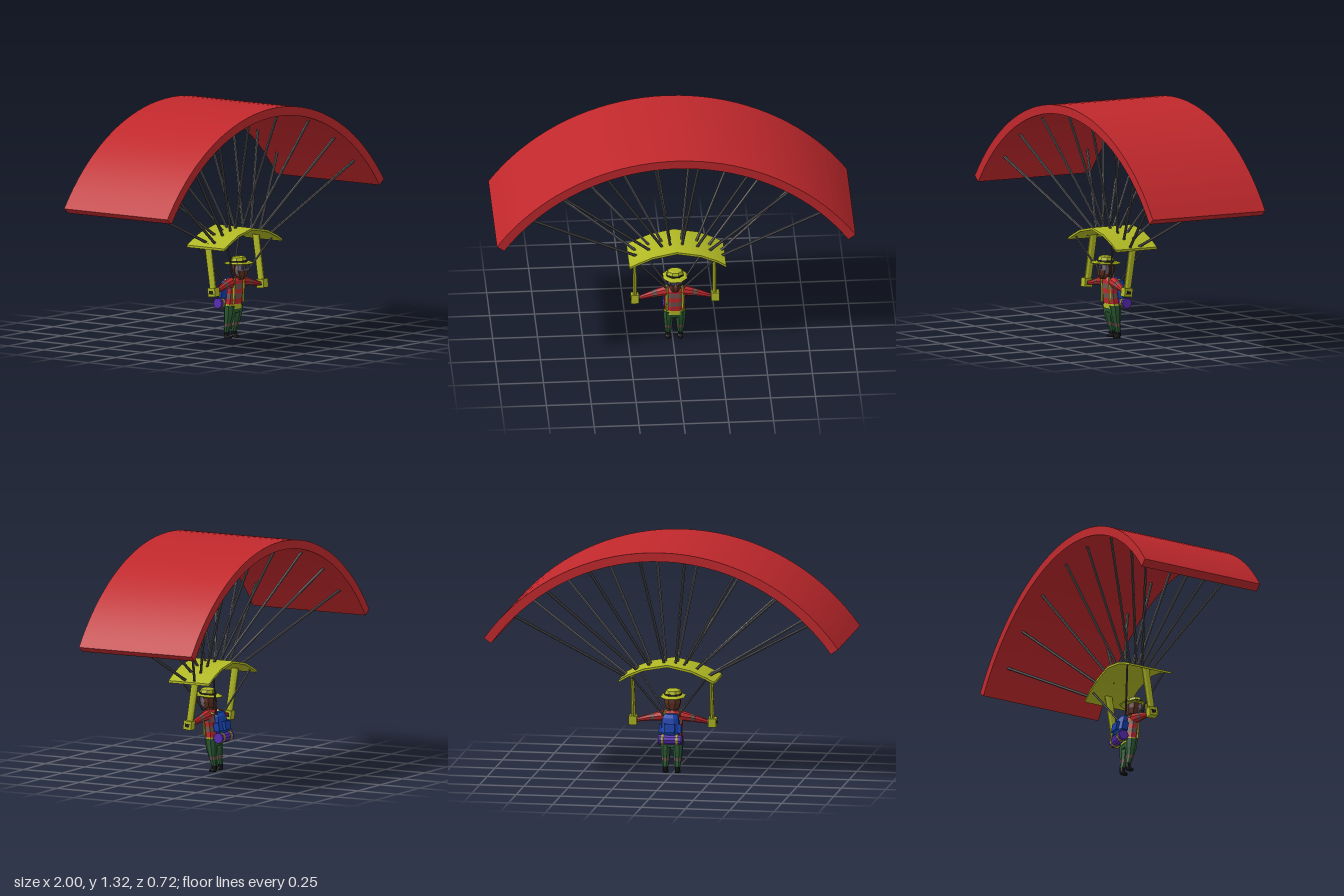
import * as THREE from 'three';
import { toCreasedNormals } from 'three/addons/utils/BufferGeometryUtils.js';

const RED = 0xc0282c, LIME = 0xb0b824, ROPE = 0x555558, STRIPE = 0x735650, GREEN = 0x2b5a34,
  BLUE = 0x1440a8, PURPLE = 0x5a2cb4, BLACK = 0x191919, BROWN = 0x5a2f20, SKIN = 0x776a78;

export function createModel() {
  const model = new THREE.Group();
  model.name = 'paraglider';
  const pilot = new THREE.Group();
  pilot.name = 'pilot';
  pilot.position.x = 0.01;
  model.add(pilot);

  const add = (parent, name, geometry, color, flatShading = true) => {
    const mesh = new THREE.Mesh(geometry, new THREE.MeshStandardMaterial({ color, flatShading }));
    mesh.name = name;
    parent.add(mesh);
    return mesh;
  };

  // straight tapered rod between two points
  const rod = (parent, name, a, b, ra, rb, color, sides = 6) => {
    const from = new THREE.Vector3(...a), to = new THREE.Vector3(...b);
    const dir = to.clone().sub(from);
    const mesh = add(parent, name, new THREE.CylinderGeometry(rb, ra, dir.length(), sides), color);
    mesh.position.copy(from).add(to).multiplyScalar(0.5);
    mesh.quaternion.setFromUnitVectors(new THREE.Vector3(0, 1, 0), dir.normalize());
    return mesh;
  };

  // eight-sided body through rows [y, z, halfWidth, halfDepth], listed from top to bottom
  const loft = (parent, name, rows, color, x = 0) => {
    const n = rows.length - 1, k = 1 / Math.cos(Math.PI / 8);
    const g = new THREE.CylinderGeometry(k, k, 1, 8, n, false, Math.PI / 8);
    const p = g.attributes.position;
    for (let i = 0; i < p.count; i++) {
      const [y, z, hx, hz] = rows[Math.round((0.5 - p.getY(i)) * n)];
      p.setXYZ(i, x + p.getX(i) * hx, y, z + p.getZ(i) * hz);
    }
    g.computeVertexNormals();
    return add(parent, name, g, color);
  };

  const box = (parent, name, size, pos, color, tilt = 0) => {
    const mesh = add(parent, name, new THREE.BoxGeometry(...size), color);
    mesh.position.set(...pos);
    mesh.rotation.x = tilt;
    return mesh;
  };

  // main canopy: a thick arc swept front to back
  const R = 1.228, CY = 0.092, half = Math.asin(1 / R), mid = Math.PI / 2;
  const arc = new THREE.Shape();
  arc.absarc(0, CY, R, mid - half, mid + half, false);
  arc.absarc(0, CY, R - 0.05, mid + half, mid - half, true);
  const canopy = new THREE.ExtrudeGeometry(arc, { depth: 0.72, bevelEnabled: false, curveSegments: 18 });
  canopy.translate(0, 0, -0.36);
  add(model, 'canopy', toCreasedNormals(canopy, 0.6), RED, false);

  // small wing above the pilot
  const top = [[-0.25, 0.54], [-0.2, 0.565], [-0.12, 0.6], [0.015, 0.628], [0.15, 0.603], [0.24, 0.565], [0.29, 0.535]];
  const outline = [...top, ...top.map(([x, y]) => [x, y - 0.013]).reverse()];
  const wing = new THREE.ExtrudeGeometry(new THREE.Shape(outline.map((p) => new THREE.Vector2(...p))),
    { depth: 0.26, bevelEnabled: false });
  wing.translate(0, 0, -0.07);
  add(model, 'smallWing', toCreasedNormals(wing, 0.5), LIME, false);

  // suspension lines in a front and a back row
  const lines = [[-0.84, -0.2, 0.555], [-0.66, -0.13, 0.59], [-0.41, -0.06, 0.607], [-0.12, -0.015, 0.615],
    [0.14, 0.05, 0.615], [0.43, 0.13, 0.595], [0.67, 0.2, 0.573], [0.85, 0.27, 0.54]];
  for (const [xt, xb, yb] of lines) {
    const yt = CY + Math.sqrt((R - 0.04) ** 2 - xt * xt);
    rod(model, 'frontLine', [xb, yb, 0.09], [xt, yt, 0.27], 0.008, 0.008, ROPE);
    rod(model, 'backLine', [xb, yb, 0.035], [xt, yt, -0.27], 0.008, 0.008, ROPE);
  }

  for (const s of [-1, 1]) {
    // harness lines from wing edge to shoulders
    rod(pilot, 'frontRiser', [s * 0.04, 0.335, 0.09], [s * 0.205, 0.55, 0.17], 0.006, 0.006, ROPE);
    rod(pilot, 'backRiser', [s * 0.04, 0.325, 0.02], [s * 0.205, 0.55, -0.055], 0.006, 0.006, ROPE);

    // control bar and grip
    loft(pilot, 'controlBar', [[0.555, 0.048, 0.009, 0.022], [0.27, 0.09, 0.012, 0.02]], LIME, s * 0.222);
    box(pilot, 'grip', [0.045, 0.05, 0.05], [s * 0.224, 0.285, 0.09], LIME, -0.1);
    box(pilot, 'gripCore', [0.05, 0.018, 0.026], [s * 0.224, 0.284, 0.09], BLACK, -0.1);

    // arm: sleeve, grey band, forearm
    rod(pilot, 'upperArm', [s * 0.045, 0.318, 0.075], [s * 0.1, 0.308, 0.08], 0.03, 0.023, RED, 8);
    rod(pilot, 'sleeveBand', [s * 0.1, 0.308, 0.08], [s * 0.125, 0.303, 0.082], 0.023, 0.02, STRIPE, 8);
    rod(pilot, 'forearm', [s * 0.125, 0.303, 0.082], [s * 0.195, 0.286, 0.09], 0.02, 0.012, RED, 8);
    rod(pilot, 'hand', [s * 0.19, 0.287, 0.09], [s * 0.215, 0.285, 0.09], 0.012, 0.014, SKIN);

    // leg, knee patch, boot
    const x = s * 0.034;
    loft(pilot, 'trouserLeg', [[0.185, 0.06, 0.03, 0.033], [0.13, 0.054, 0.026, 0.029],
      [0.085, 0.048, 0.022, 0.021]], GREEN, x);
    loft(pilot, 'legBand', [[0.085, 0.048, 0.022, 0.021], [0.068, 0.045, 0.02, 0.018]], STRIPE, x);
    loft(pilot, 'trouserCuff', [[0.068, 0.045, 0.02, 0.018], [0.036, 0.038, 0.016, 0.015]], GREEN, x);
    loft(pilot, 'boot', [[0.04, 0.037, 0.013, 0.013], [0.018, 0.037, 0.013, 0.014],
      [0.01, 0.046, 0.015, 0.022], [0, 0.048, 0.015, 0.02]], BLACK, x);

    // backpack straps over the chest
    rod(pilot, 'chestStrap', [s * 0.042, 0.34, 0.098], [s * 0.045, 0.2, 0.094], 0.007, 0.007, LIME, 4);
    rod(pilot, 'shoulderStrap', [s * 0.042, 0.342, 0.1], [s * 0.042, 0.325, 0.035], 0.007, 0.007, LIME, 4);
  }

  // torso in stacked bands, leaning forward
  const body = [[0.345, 0.076, 0.03, 0.022], [0.325, 0.075, 0.055, 0.03], [0.31, 0.073, 0.06, 0.032],
    [0.28, 0.071, 0.058, 0.034], [0.255, 0.069, 0.057, 0.035], [0.225, 0.065, 0.057, 0.035],
    [0.195, 0.061, 0.058, 0.035], [0.168, 0.059, 0.061, 0.037]];
  const bands = [RED, RED, STRIPE, RED, STRIPE, RED, LIME];
  bands.forEach((c, i) => loft(pilot, c === LIME ? 'belt' : 'jacketBand', [body[i], body[i + 1]], c));
  loft(pilot, 'hips', [[0.17, 0.059, 0.058, 0.034], [0.145, 0.057, 0.045, 0.029]], GREEN);

  // head, hair, beard, glasses
  loft(pilot, 'neck', [[0.37, 0.09, 0.02, 0.02], [0.33, 0.078, 0.022, 0.02]], BROWN);
  loft(pilot, 'head', [[0.435, 0.103, 0.038, 0.034], [0.39, 0.105, 0.041, 0.037],
    [0.355, 0.105, 0.03, 0.028]], SKIN);
  loft(pilot, 'hair', [[0.435, 0.087, 0.043, 0.033], [0.39, 0.083, 0.045, 0.033],
    [0.355, 0.082, 0.034, 0.027]], BROWN);
  loft(pilot, 'beard', [[0.385, 0.112, 0.038, 0.034], [0.36, 0.114, 0.032, 0.03],
    [0.335, 0.115, 0.016, 0.016]], BROWN);
  for (const s of [-1, 1]) box(pilot, 'lens', [0.026, 0.02, 0.008], [s * 0.017, 0.405, 0.142], 0x3c3c50);
  box(pilot, 'nose', [0.012, 0.02, 0.014], [0, 0.39, 0.144], SKIN);

  // hat, tipped back a little
  const hat = new THREE.Group();
  hat.name = 'hat';
  hat.position.set(0, 0.424, 0.098);
  hat.rotation.x = -0.06;
  pilot.add(hat);
  loft(hat, 'brim', [[0.007, 0, 0.055, 0.07], [0, 0, 0.067, 0.086], [-0.005, 0, 0.062, 0.08]], LIME);
  loft(hat, 'hatBand', [[0.016, 0, 0.046, 0.043], [0.005, 0, 0.047, 0.045]], BLACK);
  loft(hat, 'crown', [[0.039, 0, 0.028, 0.026], [0.033, 0, 0.039, 0.036], [0.015, 0, 0.045, 0.042]], LIME);

  // backpack with pocket and lid
  loft(pilot, 'backpack', [[0.335, 0.026, 0.034, 0.017], [0.315, 0.018, 0.045, 0.026],
    [0.24, 0.006, 0.052, 0.032], [0.222, 0.007, 0.048, 0.026]], BLUE);
  box(pilot, 'packPocket', [0.06, 0.05, 0.02], [0, 0.262, -0.022], BLUE, 0.16);
  for (const s of [-1, 1]) box(pilot, 'sidePocket', [0.016, 0.05, 0.034], [s * 0.055, 0.255, 0.008], BLUE, 0.16);

  // bedroll lying across, with lime bands
  const roll = (name, r, len, x, color) => {
    const m = add(pilot, name, new THREE.CylinderGeometry(r, r, len, 10), color);
    m.rotation.z = Math.PI / 2;
    m.position.set(x, 0.195, -0.004);
  };
  roll('bedroll', 0.029, 0.13, 0, PURPLE);
  for (const s of [-1, 1]) roll('bedrollBand', 0.032, 0.012, s * 0.04, LIME);

  return model;
}
